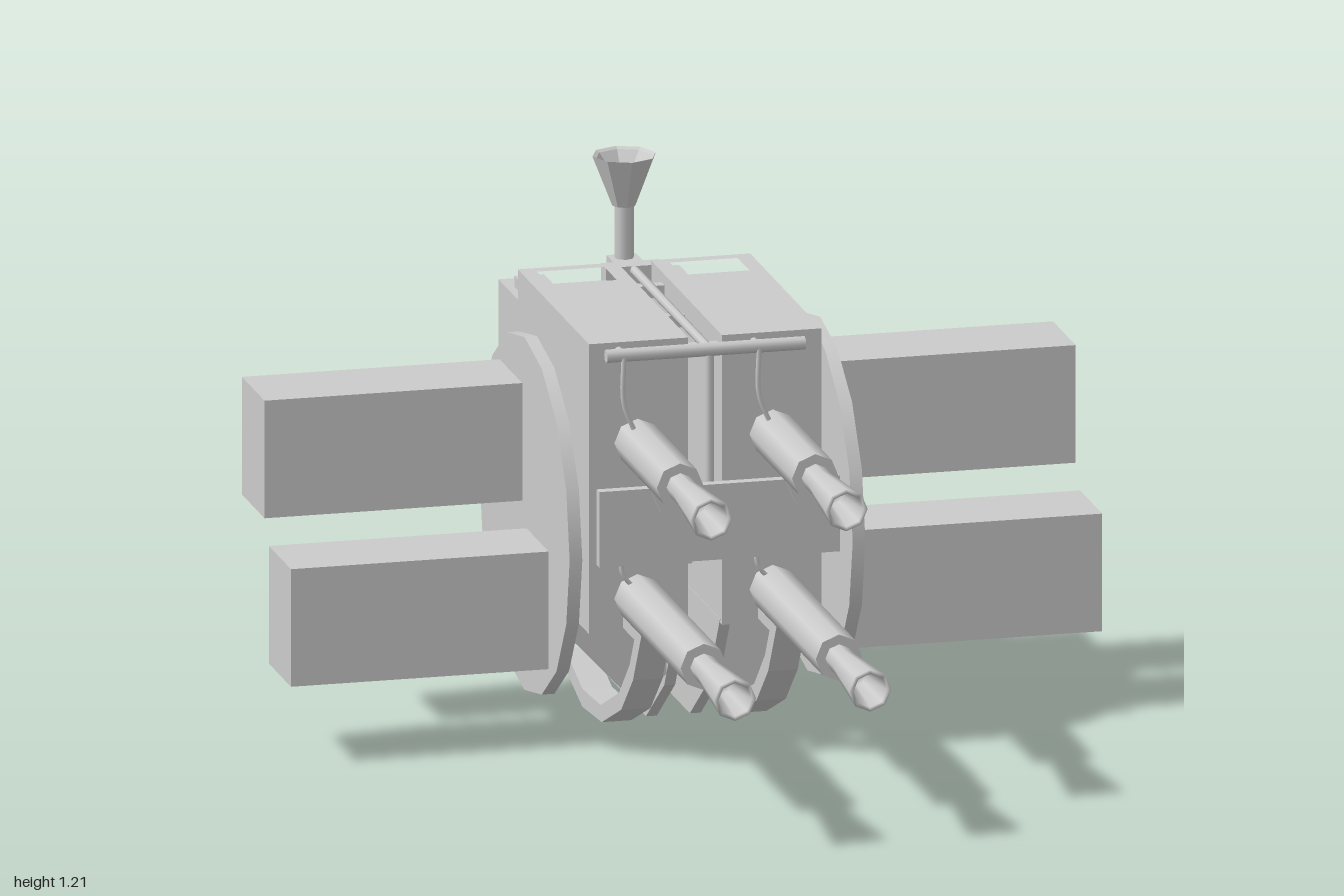
import * as THREE from 'three';

const mat = new THREE.MeshStandardMaterial({ color: 0xcccccc });
const flat = new THREE.MeshStandardMaterial({ color: 0xcccccc, flatShading: true });
const thin = new THREE.MeshStandardMaterial({ color: 0xcccccc, side: THREE.DoubleSide });

export function createModel() {
  const model = new THREE.Group();

  function add(name, geometry, material = mat) {
    const mesh = new THREE.Mesh(geometry, material);
    mesh.name = name;
    model.add(mesh);
    return mesh;
  }
  // box given by its limits on each axis
  function box(name, x0, x1, y0, y1, z0, z1) {
    const g = new THREE.BoxGeometry(Math.abs(x1 - x0), y1 - y0, z1 - z0);
    return add(name, g.translate((x0 + x1) / 2, (y0 + y1) / 2, (z0 + z1) / 2));
  }
  // straight round bar between two points
  function rod(name, a, b, r, sides = 8) {
    const p = new THREE.Vector3(...a), q = new THREE.Vector3(...b);
    const m = add(name, new THREE.CylinderGeometry(r, r, p.distanceTo(q), sides));
    m.position.copy(p).add(q).multiplyScalar(0.5);
    m.quaternion.setFromUnitVectors(new THREE.Vector3(0, 1, 0), q.sub(p).normalize());
    return m;
  }
  const outline = (pts) => new THREE.Shape(pts.map((p) => new THREE.Vector2(...p)));
  // side outline in (z, y), extruded across x
  function sidePlate(name, pts, x, width) {
    const g = new THREE.ExtrudeGeometry(outline(pts), { depth: width, bevelEnabled: false });
    g.translate(0, 0, -width / 2).rotateY(-Math.PI / 2).translate(x, 0, 0);
    return add(name, g);
  }

  for (const s of [1, -1]) {
    const x = s * 0.16;

    // main housing with two open trays in its top
    box('housing', s * 0.04, s * 0.275, 0.29, 0.94, -0.565, 0.095);
    const rect = (x0, x1, z0, z1) => [[x0, -z0], [x1, -z0], [x1, -z1], [x0, -z1]];
    const top = outline(rect(-0.1175, 0.1175, -0.565, 0.095));
    for (const [z0, z1] of [[-0.535, -0.37], [-0.19, 0.05]]) {
      top.holes.push(outline(rect(-0.08, 0.08, z0, z1)));
    }
    const topGeo = new THREE.ExtrudeGeometry(top, { depth: 0.04, bevelEnabled: false });
    add('housingTop', topGeo.rotateX(-Math.PI / 2).translate(s * 0.1575, 0.94, 0));

    // large side disc on its axle
    const disc = new THREE.CylinderGeometry(0.42, 0.42, 0.03, 16).rotateX(Math.PI / 2);
    add('sideDisc', disc.rotateY(Math.PI / 2).translate(s * 0.335, 0.5, -0.21));
    rod('discAxle', [s * 0.27, 0.5, -0.21], [s * 0.325, 0.5, -0.21], 0.015);

    // side boxes
    box('upperSideBox', s * 0.345, s * 0.96, 0.525, 0.805, -0.44, -0.23);
    box('lowerSideBox', s * 0.345, s * 0.96, 0.19, 0.47, -0.19, 0.015);

    // barrels with hollow flared muzzles
    for (const [y, end] of [[0.74, 0.49], [0.37, 0.71]]) {
      rod('barrelSleeve', [x, y, 0.08], [x, y, end], 0.055);
      const profile = [[0.032, -0.01], [0.032, 0.06], [0.037, 0.12], [0.05, 0.29],
        [0.04, 0.29], [0.022, 0.16], [0, 0.16]].map((p) => new THREE.Vector2(...p));
      const muzzle = new THREE.LatheGeometry(profile, 8).rotateX(Math.PI / 2);
      add('muzzle', muzzle.translate(x, y, end), thin);
    }

    // breech boxes with lid and rear catch
    for (const [y0, y1, end] of [[0.64, 0.84, -0.98], [0.305, 0.47, -0.85]]) {
      box('breech', x - 0.055, x + 0.055, y0, y1, end, -0.56);
      box('breechLid', x - 0.035, x + 0.035, y1, y1 + 0.025, end + 0.07, end + 0.335);
      box('breechCatch', x - 0.013, x + 0.013, y1 - 0.11, y1, end - 0.02, end);
    }

    // pointed plate under each upper barrel
    const pointer = outline([[-0.03, 0.7], [0, 0.63], [0.03, 0.7]]);
    const pointerGeo = new THREE.ExtrudeGeometry(pointer, { depth: 0.01, bevelEnabled: false });
    add('pointer', pointerGeo.translate(x, 0, 0.3));

    // thin linkages running down to the barrels
    for (const [y0, y1, z] of [[0.96, 0.77, 0.145], [0.5, 0.4, 0.13]]) {
      const path = new THREE.CatmullRomCurve3([
        new THREE.Vector3(x - 0.045, y0, z),
        new THREE.Vector3(x - 0.045, y0 - (y0 - y1) * 0.6, z),
        new THREE.Vector3(x - 0.015, y1, z),
      ]);
      add('linkage', new THREE.TubeGeometry(path, 8, 0.006, 6));
    }
    rod('barBracket', [x - 0.045, 0.96, 0.08], [x - 0.045, 0.96, 0.145], 0.01);

    // keel plate
    sidePlate('keelPlate', [[-0.56, 0.3], [-0.56, 0], [-0.2, 0], [-0.03, 0.12], [0.08, 0.3]],
      s * 0.052, 0.026);

    // curved skid
    sidePlate('skid', [[0.27, 0.33], [0.19, 0.2], [0.08, 0.1], [-0.1, 0.022], [-0.28, 0.01],
      [-0.455, 0.062], [-0.445, 0.105], [-0.28, 0.053], [-0.11, 0.06], [0.06, 0.135],
      [0.16, 0.23], [0.22, 0.33]], x, 0.07);
    box('skidMount', x - 0.035, x + 0.035, 0.3, 0.33, 0.08, 0.25);

    // gussets between housing and skid
    for (const z of [-0.03, -0.1]) {
      const pts = [[0.05, 0.3], [0.05, 0.17], [0.13, 0.08], [0.29, 0.25], [0.29, 0.31]];
      const g = new THREE.ExtrudeGeometry(outline(pts.map(([a, b]) => [a * s, b])),
        { depth: 0.02, bevelEnabled: false });
      add('gusset', g.translate(0, 0, z));
    }
  }

  // front shield plate with arms back to the housings
  box('frontShield', -0.285, 0.285, 0.485, 0.665, 0.205, 0.23);
  for (const s of [1, -1]) box('shieldArm', s * 0.06, s * 0.09, 0.56, 0.59, 0.09, 0.21);

  // linkage bar and centre rods
  rod('crossBar', [-0.245, 0.96, 0.135], [0.225, 0.96, 0.135], 0.016);
  rod('centreRod', [0, 0.96, 0.135], [0, 0.96, -0.57], 0.011);
  rod('centreUpright', [0, 0.6, 0.135], [0, 0.96, 0.135], 0.011);

  // ties across the gap between housings
  for (const [y, z] of [[0.94, -0.455], [0.92, -0.265], [0.94, 0.06], [0.375, -0.2]]) {
    box('gapTie', -0.045, 0.045, y - 0.014, y + 0.014, z - 0.014, z + 0.014);
  }

  // rear mount and sighting funnel
  box('funnelMount', -0.068, 0.068, 0.79, 0.97, -0.605, -0.56);
  box('funnelBlock', -0.035, 0.035, 0.83, 0.965, -0.685, -0.605);
  rod('funnelStem', [0, 0.95, -0.657], [0, 1.1, -0.657], 0.023);
  const cone = [[0, 1.09], [0.028, 1.09], [0.075, 1.21], [0.066, 1.205], [0, 1.12]];
  const funnel = new THREE.LatheGeometry(cone.map((p) => new THREE.Vector2(...p)), 8);
  add('funnel', funnel.translate(0, 0, -0.657), flat);

  return model;
}
